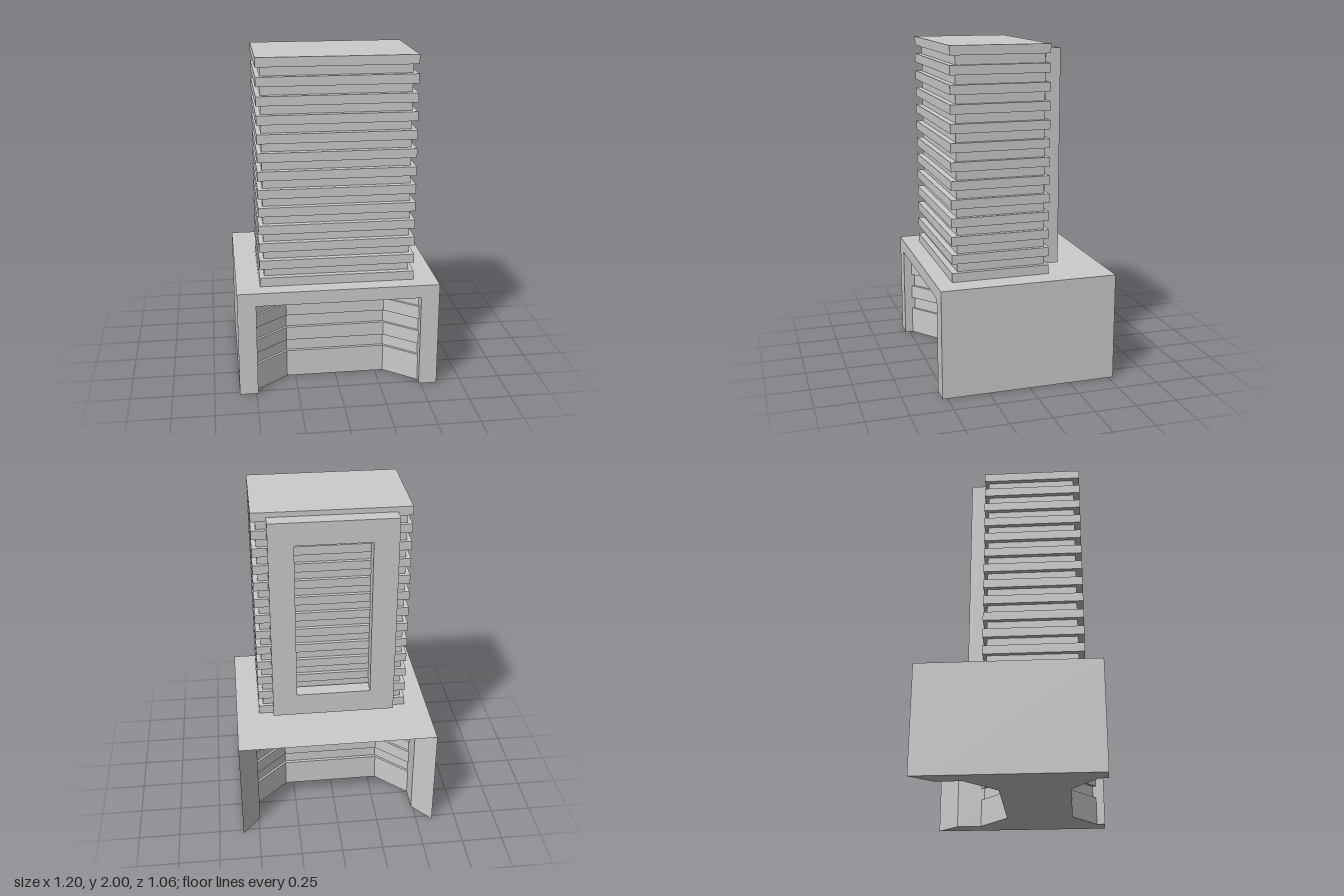
import * as THREE from 'three';

const material = new THREE.MeshStandardMaterial({ color: 0xcccccc, flatShading: true });

function addMesh(parent, name, geometry) {
  const mesh = new THREE.Mesh(geometry, material);
  mesh.name = name;
  parent.add(mesh);
  return mesh;
}

// Box given by its limits on each axis
function addBlock(parent, name, [x0, x1], [y0, y1], [z0, z1]) {
  const mesh = addMesh(parent, name, new THREE.BoxGeometry(x1 - x0, y1 - y0, z1 - z0));
  mesh.position.set((x0 + x1) / 2, (y0 + y1) / 2, (z0 + z1) / 2);
}

function shapeOf(points) {
  return new THREE.Shape(points.map(([x, y]) => new THREE.Vector2(x, y)));
}

function extrude(shape, depth) {
  return new THREE.ExtrudeGeometry(shape, { depth, bevelEnabled: false });
}

// Portal: two side walls and a roof, with splayed reveals at the rear
function buildPortal() {
  const portal = new THREE.Group();
  portal.name = 'podiumPortal';
  const profile = shapeOf([
    [-0.6, 0], [-0.49, 0], [-0.49, 0.57], [0.49, 0.57],
    [0.49, 0], [0.6, 0], [0.6, 0.65], [-0.6, 0.65],
  ]);
  addMesh(portal, 'portalWallsAndRoof', extrude(profile, 0.93)).position.z = -0.4;

  const splay = extrude(profile, 0.13);
  const pos = splay.attributes.position;
  for (let i = 0; i < pos.count; i++) {
    if (pos.getZ(i) > 0.01) continue;
    // inner edge opens out to the outer edge at the back
    pos.setX(i, Math.sign(pos.getX(i)) * 0.6);
    if (pos.getY(i) > 0.5) pos.setY(i, 0.65);
  }
  splay.computeVertexNormals();
  addMesh(portal, 'rearSplay', splay).position.z = -0.53;
  return portal;
}

// Plan of the lobby block, waisted front and back; inset pulls both faces in
function lobbyLayer(inset, y0, y1) {
  const front = [[-0.49, 0.48], [-0.3, 0.33], [0.3, 0.33], [0.49, 0.48]];
  const back = [[0.49, -0.25], [0.3, -0.07], [-0.3, -0.07], [-0.49, -0.25]];
  const plan = shapeOf([
    ...front.map(([x, z]) => [x, -(z - inset)]),
    ...back.map(([x, z]) => [x, -(z + inset)]),
  ]);
  return extrude(plan, y1 - y0).rotateX(-Math.PI / 2).translate(0, y0, 0);
}

function buildLobby() {
  const lobby = new THREE.Group();
  lobby.name = 'lobby';
  addMesh(lobby, 'lobbyWindows', lobbyLayer(0.02, 0.1, 0.57));
  for (const [y0, y1] of [[0, 0.17], [0.245, 0.33], [0.41, 0.49]]) {
    addMesh(lobby, 'lobbyBand', lobbyLayer(0, y0, y1));
  }
  return lobby;
}

// Tower: recessed core with projecting floor slabs
function buildTower() {
  const tower = new THREE.Group();
  tower.name = 'tower';
  addBlock(tower, 'towerCore', [-0.433, 0.433], [0.65, 1.97], [-0.135, 0.393]);
  const floors = 13, height = 0.054, bottom = 0.65;
  const pitch = (2 - height - bottom) / (floors - 1);
  for (let i = 0; i < floors; i++) {
    const y = bottom + i * pitch;
    addBlock(tower, 'floorSlab', [-0.46, 0.46], [y, y + height], [-0.158, 0.43]);
  }
  return tower;
}

// Tall open frame on the back of the tower
function buildRearFrame() {
  const outline = shapeOf([[-0.373, 0.687], [0.373, 0.687], [0.373, 1.97], [-0.373, 1.97]]);
  outline.holes.push(shapeOf([[-0.225, 0.83], [-0.225, 1.83], [0.225, 1.83], [0.225, 0.83]]));
  return extrude(outline, 0.09);
}

export function createModel() {
  const model = new THREE.Group();
  model.name = 'towerBlock';
  model.add(buildPortal(), buildLobby(), buildTower());
  addMesh(model, 'rearFrame', buildRearFrame()).position.z = -0.247;
  return model;
}
